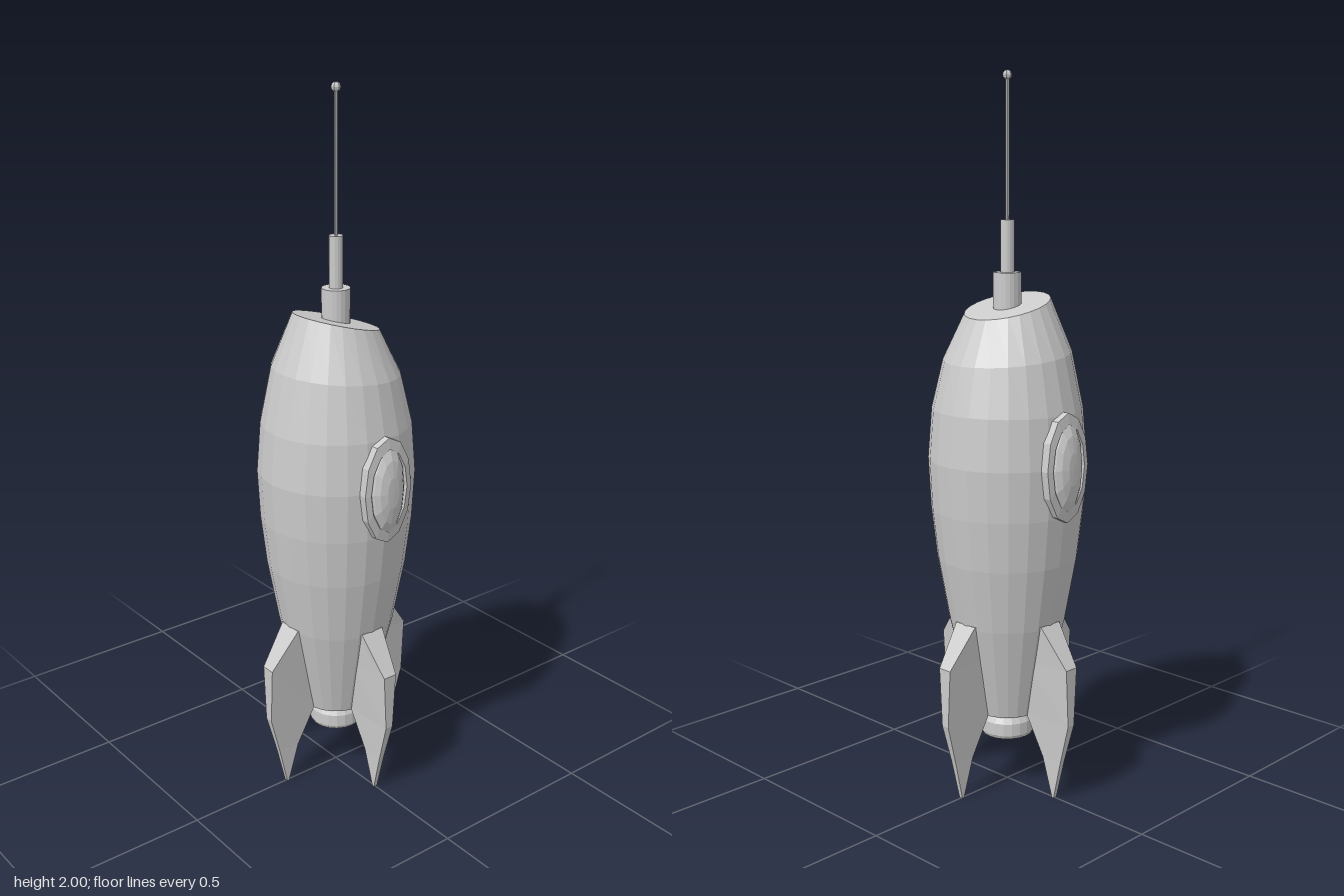
import * as THREE from 'three';

const material = new THREE.MeshStandardMaterial({ color: 0xcccccc, flatShading: true });
const doubleSided = new THREE.MeshStandardMaterial({ color: 0xcccccc, flatShading: true, side: THREE.DoubleSide });

const lathe = (points, sides) =>
  new THREE.LatheGeometry(points.map(([r, y]) => new THREE.Vector2(r, y)), sides);

function add(parent, name, geometry, mat = material) {
  const mesh = new THREE.Mesh(geometry, mat);
  mesh.name = name;
  parent.add(mesh);
  return mesh;
}

// Hull: faceted lathe whose upper rings lean so the nose is cut at a slant
function hullGeometry() {
  const geo = lathe([
    [0, 0.23], [0.1, 0.23], [0.165, 0.5], [0.197, 0.68], [0.213, 0.82],
    [0.22, 0.96], [0.209, 1.1], [0.177, 1.245], [0.118, 1.38], [0, 1.38],
  ], 24);
  const pos = geo.attributes.position;
  for (let i = 0; i < pos.count; i++) {
    const y = pos.getY(i);
    const slope = y > 1.3 ? 0.26 : y > 1.2 ? 0.09 : 0;
    pos.setY(i, y + slope * pos.getZ(i));
  }
  geo.computeVertexNormals();
  return geo;
}

// Fin: stacked four-cornered sections, thinning outward and downward
function finGeometry() {
  // height, inner radius, outer radius, inner half width, outer half width
  const levels = [
    [0.005, 0.181, 0.187, 0.006, 0.006],
    [0.12, 0.15, 0.214, 0.011, 0.008],
    [0.235, 0.095, 0.245, 0.02, 0.012],
    [0.4, 0.1, 0.245, 0.033, 0.021],
    [0.51, 0.12, 0.165, 0.04, 0.037],
  ];
  const vertices = [];
  const indices = [];
  for (const [y, a, b, wa, wb] of levels) {
    vertices.push(a, y, -wa, b, y, -wb, b, y, wb, a, y, wa);
  }
  for (let l = 0; l < levels.length - 1; l++) {
    for (let i = 0; i < 4; i++) {
      const a = l * 4 + i, b = l * 4 + (i + 1) % 4, c = b + 4, d = a + 4;
      indices.push(a, d, c, a, c, b);
    }
  }
  const t = (levels.length - 1) * 4;
  indices.push(0, 1, 2, 0, 2, 3, t, t + 2, t + 1, t, t + 3, t + 2);
  const geo = new THREE.BufferGeometry();
  geo.setAttribute('position', new THREE.Float32BufferAttribute(vertices, 3));
  geo.setIndex(indices);
  geo.computeVertexNormals();
  return geo;
}

// Porthole: tall oval frame with a domed pane, lathe axis pointing along +x
function porthole(name) {
  const group = new THREE.Group();
  group.name = name;
  const frame = lathe([[0.08, 0.185], [0.08, 0.226], [0.062, 0.23], [0.055, 0.222]], 12);
  const pane = lathe([[0.057, 0.22], [0.052, 0.23], [0.04, 0.241], [0.02, 0.248], [0, 0.249]], 12);
  for (const [part, geo, stretch] of [['portholeFrame', frame, 1.88], ['portholePane', pane, 2.3]]) {
    geo.rotateZ(-Math.PI / 2).scale(1, stretch, 1).translate(0, 0.96, 0);
    add(group, part, geo, doubleSided);
  }
  return group;
}

export function createModel() {
  const rocket = new THREE.Group();
  rocket.name = 'rocket';

  add(rocket, 'hull', hullGeometry());

  // Hollow exhaust nozzle
  add(rocket, 'nozzle', lathe([
    [0.062, 0.23], [0.062, 0.165], [0.068, 0.155], [0.073, 0.155],
    [0.078, 0.165], [0.078, 0.2], [0.07, 0.215], [0.07, 0.235],
  ], 20), doubleSided);

  // Four fins around the tail
  const fin = finGeometry();
  for (let i = 0; i < 4; i++) {
    add(rocket, 'fin', fin).rotation.y = i * Math.PI / 2;
  }

  // Portholes on both sides
  const left = porthole('leftPorthole');
  const right = porthole('rightPorthole');
  right.rotation.y = Math.PI;
  rocket.add(left, right);

  // Stepped antenna mast
  const cylinder = (name, radius, bottom, top, sides) =>
    add(rocket, name, new THREE.CylinderGeometry(radius, radius, top - bottom, sides))
      .position.set(0, (bottom + top) / 2, 0);
  cylinder('antennaBase', 0.039, 1.35, 1.47, 20);
  cylinder('antennaSleeve', 0.019, 1.46, 1.61, 16);
  cylinder('antennaRod', 0.005, 1.6, 1.985, 8);
  add(rocket, 'antennaTip', new THREE.SphereGeometry(0.013, 6, 6)).position.y = 1.987;

  return rocket;
}
